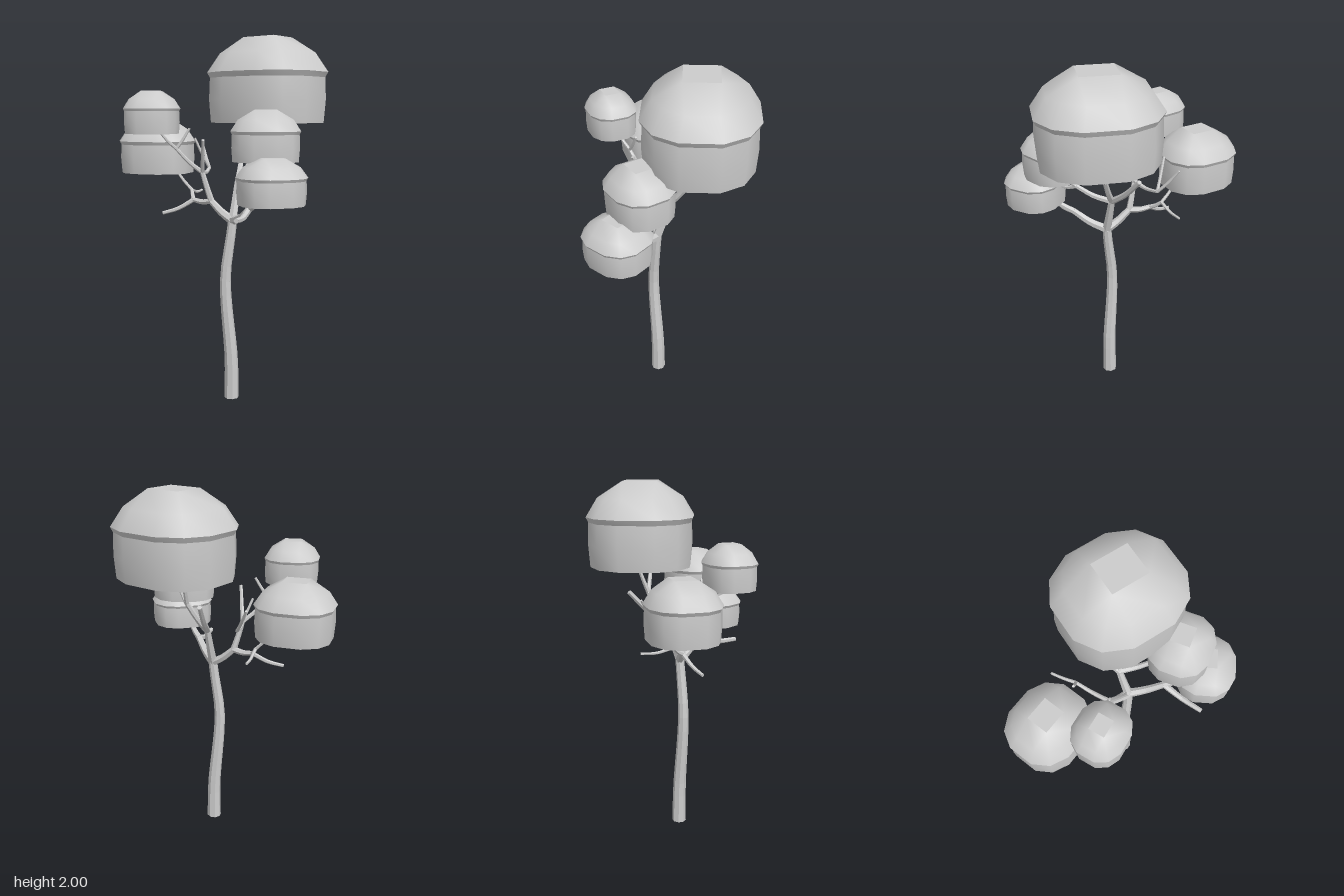
import * as THREE from 'three';
import { mergeGeometries, mergeVertices } from 'three/addons/utils/BufferGeometryUtils.js';

const leafMat = new THREE.MeshStandardMaterial({ color: 0xcccccc });
const woodMat = new THREE.MeshStandardMaterial({ color: 0xcccccc, flatShading: true });

// Twelve-point rounded-square outline; the square cap pulls each corner trio into one point.
const corner = [[1, 0.34], [0.78, 0.76], [0.36, 1]];
function outline(scale, square) {
  const pts = [];
  for (let q = 0; q < 4; q++) {
    for (const c of corner) {
      let [x, z] = square ? [1, 1] : c;
      for (let k = 0; k < q; k++) [x, z] = [-z, x];
      pts.push([x * scale, z * scale]);
    }
  }
  return pts;
}

// Smooth band through [scale, height, square] rings, listed from the top down.
function band(rings) {
  const pos = [], idx = [], n = 12;
  for (const [s, y, square] of rings) for (const [x, z] of outline(s, square)) pos.push(x, y, z);
  for (let i = 0; i < rings.length - 1; i++) {
    for (let j = 0; j < n; j++) {
      const a = i * n + j, b = i * n + (j + 1) % n, c = a + n, d = b + n;
      idx.push(a, b, c, b, d, c);
    }
  }
  let g = new THREE.BufferGeometry();
  g.setAttribute('position', new THREE.Float32BufferAttribute(pos, 3));
  g.setIndex(idx);
  g = mergeVertices(g);
  g.computeVertexNormals();
  return g;
}

// Leaf cluster: flat cap, dome, overhanging lip, wall and flat base, with sharp seams between.
function canopyGeometry() {
  return mergeGeometries([
    band([[0, 1], [0.31, 1, true]]),
    band([[0.31, 1, true], [0.79, 0.81], [1, 0.59]]),
    band([[1, 0.59], [0.955, 0.53]]),
    band([[0.955, 0.53], [0.97, 0.28], [0.94, 0.01]]),
    band([[0.94, 0.01], [0, 0]]),
  ]);
}

// Tapered limb along a curve, closed at both ends.
function limb(name, points, r0, r1, sides) {
  const curve = new THREE.CatmullRomCurve3(points);
  const seg = (points.length - 1) * 3;
  const tube = new THREE.TubeGeometry(curve, seg, 1, sides);
  const pos = tube.attributes.position, v = new THREE.Vector3();
  for (let k = 0; k < pos.count; k++) {
    const t = Math.floor(k / (sides + 1)) / seg;
    const c = curve.getPointAt(t);
    v.fromBufferAttribute(pos, k).sub(c).multiplyScalar(r0 + (r1 - r0) * t).add(c);
    pos.setXYZ(k, v.x, v.y, v.z);
  }
  const parts = [tube];
  for (const [t, r, dir] of [[0, r0, -1], [1, r1, 1]]) {
    const q = new THREE.Quaternion().setFromUnitVectors(
      new THREE.Vector3(0, 0, 1), curve.getTangentAt(t).multiplyScalar(dir));
    const c = curve.getPointAt(t);
    parts.push(new THREE.CircleGeometry(r, sides).applyQuaternion(q).translate(c.x, c.y, c.z));
  }
  const mesh = new THREE.Mesh(mergeGeometries(parts), woodMat);
  mesh.name = name;
  return mesh;
}

// Each limb grows from its parent's end to its own end point.
const growth = {
  leftBranch: ['trunk', -0.045, 1.11, 0.07],
  leftFork: ['leftBranch', -0.165, 1.11, 0.08],
  leftLowTwig: ['leftFork', -0.3, 1.035, 0.19],
  leftOuterBranch: ['leftFork', -0.22, 1.16, 0.03],
  leftOuterTwig: ['leftOuterBranch', -0.31, 1.27, 0.06],
  leftBackTwig: ['leftOuterBranch', -0.28, 1.14, -0.135],
  leftUpperBranch: ['leftBranch', -0.08, 1.27, 0.105],
  leftInnerTwig: ['leftUpperBranch', -0.012, 1.45, 0.18],
  frontLeftBranch: ['leftUpperBranch', -0.175, 1.4, 0.21],
  frontLeftSupport: ['frontLeftBranch', -0.23, 1.5, 0.29],
  frontLeftTwig: ['frontLeftBranch', -0.115, 1.51, 0.17],
  backLeftBranch: ['leftUpperBranch', -0.17, 1.28, -0.07],
  backLeftInnerTwig: ['backLeftBranch', -0.22, 1.45, 0],
  backLeftOuterTwig: ['backLeftBranch', -0.27, 1.42, -0.13],
  centreBranch: ['trunk', 0.07, 1.22, -0.02],
  centreUpperBranch: ['centreBranch', 0.122, 1.39, -0.13],
  topLeftSupport: ['centreUpperBranch', 0.095, 1.56, -0.19],
  topRightSupport: ['centreUpperBranch', 0.22, 1.56, -0.12],
  centreBackTwig: ['centreBranch', -0.04, 1.42, -0.22],
  innerRightBranch: ['centreBranch', 0.25, 1.29, 0.06],
  innerRightSupport: ['innerRightBranch', 0.33, 1.36, 0.11],
  innerRightTwig: ['innerRightBranch', 0.32, 1.26, 0.13],
  rightBranch: ['trunk', 0.26, 1.095, 0.14],
  rightSupport: ['rightBranch', 0.38, 1.17, 0.2],
  rightLowTwig: ['rightBranch', 0.35, 1.07, 0.37],
};

export function createModel() {
  const tree = new THREE.Group();
  tree.name = 'tree';

  // Trunk with a slight bow
  const trunkPath = [[0.081, 0, 0.05], [0.081, 0.22, 0.052], [0.056, 0.68, 0.074],
    [0.08, 0.92, 0.058], [0.087, 1.01, 0.05]].map((p) => new THREE.Vector3(...p));
  tree.add(limb('trunk', trunkPath, 0.041, 0.025, 8));

  // Branches thin by a fixed ratio at every fork and sag a little between forks
  const ends = { trunk: { point: trunkPath.at(-1), radius: 0.025 } };
  for (const [name, [parent, ...end]] of Object.entries(growth)) {
    const from = ends[parent], point = new THREE.Vector3(...end), radius = from.radius * 0.72;
    const middle = from.point.clone().lerp(point, 0.5);
    middle.y -= 0.07 * Math.hypot(point.x - from.point.x, point.z - from.point.z);
    tree.add(limb(name, [from.point, middle, point], from.radius, radius, 6));
    ends[name] = { point, radius };
  }

  // Leaf clusters: name, centre x and z, base y, half width, height, half depth, turn
  const leaf = canopyGeometry();
  const canopies = [
    ['topCanopy', 0.16, -0.17, 1.535, 0.32, 0.465, 0.29, 0],
    ['leftCanopy', -0.425, 0.09, 1.25, 0.208, 0.31, 0.188, 0.33],
    ['frontLeftCanopy', -0.255, 0.315, 1.48, 0.146, 0.23, 0.132, 0.46],
    ['innerRightCanopy', 0.347, 0.118, 1.345, 0.178, 0.265, 0.164, 0.62],
    ['rightCanopy', 0.457, 0.222, 1.14, 0.172, 0.235, 0.157, 0.92],
  ];
  for (const [name, x, z, y, w, h, d, turn] of canopies) {
    const mesh = new THREE.Mesh(leaf, leafMat);
    mesh.name = name;
    mesh.position.set(x, y, z);
    mesh.scale.set(w, h, d);
    mesh.rotation.y = turn;
    tree.add(mesh);
  }
  return tree;
}
